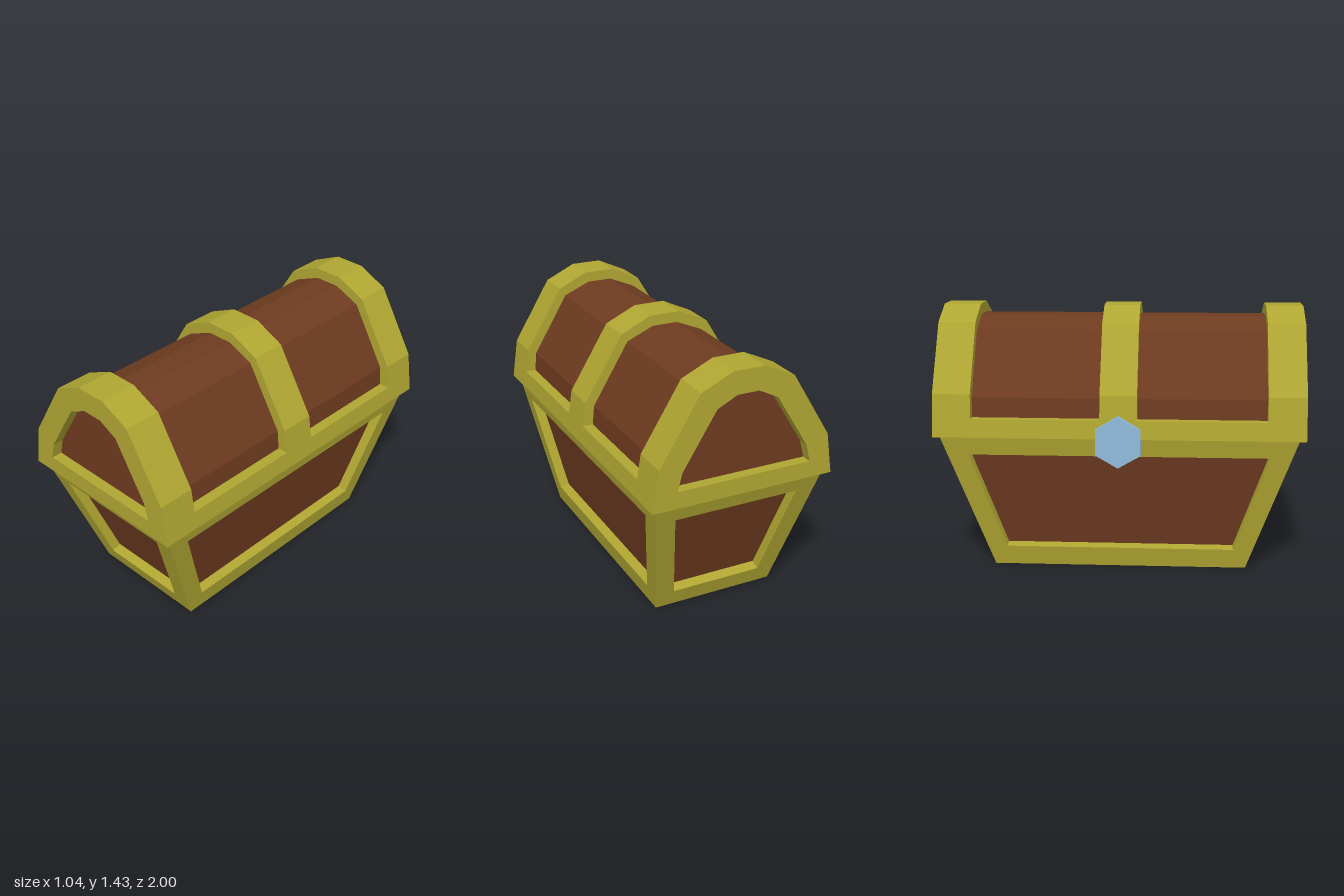
import * as THREE from 'three';

const material = (color) => new THREE.MeshStandardMaterial({ color, flatShading: true });
const CX = 0.005; // the chest sits slightly off centre because of the latch
const BASE_H = 0.77;
const RECESS = 0.06;
const halfX = (y) => 0.35 + 0.175 * y; // tapered outline of the base
const halfZ = (y) => 0.7 + 0.35 * y;

// Closed outline from its right half, mirrored to the left
function mirrored(half, Type = THREE.Shape) {
  const left = half.map(([x, y]) => [-x, y]).reverse();
  return new Type([...half, ...left].map(([x, y]) => new THREE.Vector2(x, y)));
}

// Extrude an outline along z between two positions
function extrude(shape, z0, z1) {
  const geo = new THREE.ExtrudeGeometry(shape, { depth: z1 - z0, bevelEnabled: false });
  return geo.translate(0, 0, z0);
}

function moveVertices(geo, rule) {
  const p = geo.attributes.position;
  const v = new THREE.Vector3();
  for (let i = 0; i < p.count; i++) {
    rule(v.fromBufferAttribute(p, i));
    p.setXYZ(i, v.x, v.y, v.z);
  }
  geo.computeVertexNormals();
  return geo;
}

// Leaning wall with a trapezoid window, outer face at distance dist(y)
function wallFrame(half, dist, windowHalf) {
  const shape = mirrored([[half(0), 0], [half(BASE_H), BASE_H]]);
  shape.holes.push(mirrored(windowHalf, THREE.Path));
  const slope = dist(1) - dist(0);
  return moveVertices(extrude(shape, -RECESS, 0), (v) => {
    const inWindow = v.y > 0.05 && v.y < 0.7;
    const y = v.y;
    v.z += dist(y);
    if (inWindow) {
      // window reveals run square to the leaning wall
      const rise = v.z < dist(y) - 0.01 ? slope * RECESS : 0;
      v.y += rise;
      v.z += slope * rise;
    }
  });
}

export function createModel() {
  const model = new THREE.Group();
  const gold = material(0xb0a632);
  const wood = material(0x6e3b20);
  const steel = material(0x8fbbdb);

  const chest = new THREE.Group();
  chest.name = 'chest';
  chest.position.x = CX;
  model.add(chest);

  function add(name, geo, mat, parent = chest) {
    const mesh = new THREE.Mesh(geo, mat);
    mesh.name = name;
    parent.add(mesh);
    return mesh;
  }

  // Base: four framed walls, open underneath
  const base = new THREE.Group();
  base.name = 'base';
  chest.add(base);
  const endWall = wallFrame(halfX, halfZ, [[0.26, 0.1], [0.355, 0.66]]);
  const sideWall = wallFrame(halfZ, halfX, [[0.63, 0.11], [0.815, 0.66]]);
  add('frontFrame', endWall, gold, base);
  add('backFrame', endWall, gold, base).rotation.y = Math.PI;
  add('leftFrame', sideWall, gold, base).rotation.y = Math.PI / 2;
  add('rightFrame', sideWall, gold, base).rotation.y = -Math.PI / 2;

  // Wooden box behind the windows, its floor raised above the ground
  const floor = 0.1;
  const box = new THREE.BoxGeometry(2, BASE_H - floor, 2).translate(0, (BASE_H + floor) / 2, 0);
  moveVertices(box, (v) => {
    v.x *= halfX(v.y) - RECESS + 0.003;
    v.z *= halfZ(v.y) - RECESS + 0.003;
  });
  add('baseBox', box, wood, base);

  // Lid: faceted wooden vault with gold bands
  const lid = new THREE.Group();
  lid.name = 'lid';
  chest.add(lid);
  const bottom = 0.765;
  const outer = [[0.515, bottom], [0.48, 0.995], [0.26, 1.355], [0.088, 1.435]];
  const vault = [[0.45, bottom], [0.43, 0.97], [0.225, 1.31], [0.072, 1.375]];
  const opening = [[0.38, 0.858], [0.355, 0.955], [0.17, 1.255], [0.06, 1.31]];

  add('lidVault', extrude(mirrored(vault), -0.94, 0.94), wood, lid);
  add('middleBand', extrude(mirrored(outer), -0.1, 0.1), gold, lid);

  const endShape = mirrored(outer);
  endShape.holes.push(mirrored(opening, THREE.Path));
  const endBand = extrude(endShape, 0.795, 1);
  add('frontBand', endBand, gold, lid);
  add('backBand', endBand, gold, lid).rotation.y = Math.PI;

  // Rails along the lower edge of the lid
  const railShape = new THREE.Shape(
    [[0.42, bottom], [0.515, bottom], [0.5, 0.862], [0.42, 0.862]].map(([x, y]) => new THREE.Vector2(x, y)));
  const rail = extrude(railShape, -0.9, 0.9);
  add('leftRail', rail, gold, lid);
  add('rightRail', rail, gold, lid).rotation.y = Math.PI;

  // Hexagonal latch on the right side, one corner up
  const latch = add('latch', new THREE.CylinderGeometry(0.14, 0.14, 0.105, 6), steel, model);
  latch.geometry.rotateY(Math.PI / 2).rotateZ(Math.PI / 2);
  latch.position.set(-0.4725, 0.75, 0);

  return model;
}
